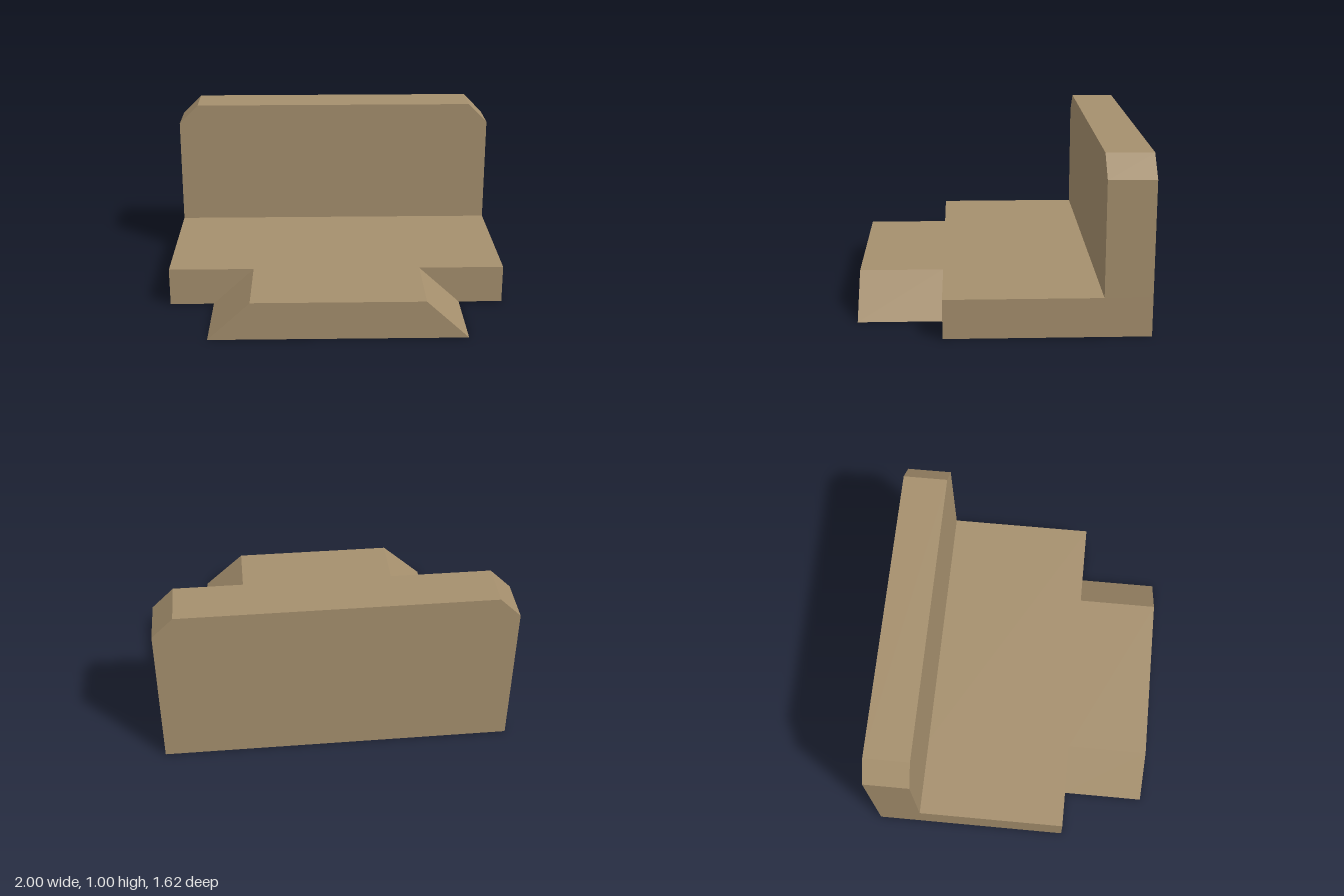
import * as THREE from 'three';

export function createModel() {
  const model = new THREE.Group();
  model.name = 'dovetailBracket';
  const tan = new THREE.MeshStandardMaterial({ color: 0xa58f6d });
  tan.name = 'tan';

  // Extrudes a front outline (x, y) from zBack to zFront
  function slab(name, outline, zBack, zFront) {
    const shape = new THREE.Shape(outline.map(([x, y]) => new THREE.Vector2(x, y)));
    const geometry = new THREE.ExtrudeGeometry(shape, { depth: zFront - zBack, bevelEnabled: false });
    geometry.translate(0, 0, zBack);
    const mesh = new THREE.Mesh(geometry, tan);
    mesh.name = name;
    model.add(mesh);
  }

  const back = -0.81, wallFront = -0.545, baseFront = 0.33, front = 0.81;
  const baseTop = 0.225;

  // Flat base plate
  slab('basePlate', [[-1, 0], [1, 0], [1, baseTop], [-1, baseTop]], back, baseFront);

  // Upright wall with chamfered top corners
  slab('backWall', [
    [-1, baseTop], [1, baseTop], [1, 0.88], [0.88, 1], [-0.88, 1], [-1, 0.88],
  ], back, wallFront);

  // Dovetail tongue, wider at the bottom
  slab('dovetailTongue', [
    [-0.74, 0], [0.74, 0], [0.495, baseTop], [-0.495, baseTop],
  ], baseFront, front);

  return model;
}
